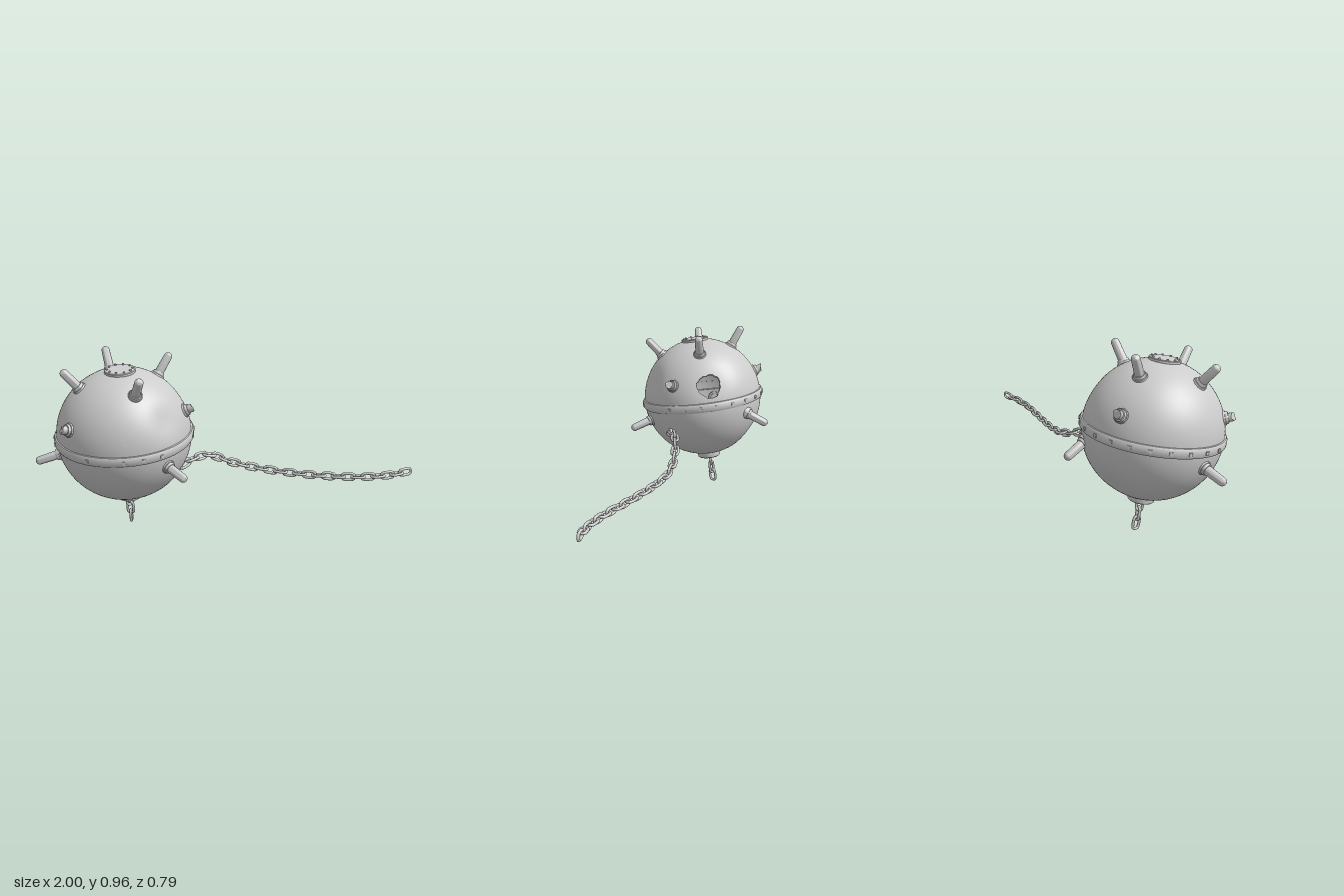
import * as THREE from 'three';
import { mergeVertices, toCreasedNormals } from 'three/addons/utils/BufferGeometryUtils.js';

const V = (x, y, z) => new THREE.Vector3(x, y, z);
const UP = V(0, 1, 0);
const CENTER = V(-0.536, 0.538, 0.033);
const R = 0.35;
const AXIS = V(-0.04, 1, 0.134).normalize();   // tilted axis through belt and bottom plug

const steel = new THREE.MeshStandardMaterial({ color: 0xcccccc, side: THREE.DoubleSide });
steel.name = 'light grey steel';

function mesh(name, geometry, parent) {
  const m = new THREE.Mesh(geometry, steel);
  m.name = name;
  parent.add(m);
  return m;
}

function lathe(points, segments = 32) {
  const profile = points.map(([r, y]) => new THREE.Vector2(r, y));
  return toCreasedNormals(new THREE.LatheGeometry(profile, segments), 0.7);
}

// Group at the ball centre whose local +y points along a direction
function radialGroup(name, dir, parent) {
  const g = new THREE.Group();
  g.name = name;
  g.position.copy(CENTER);
  g.quaternion.setFromUnitVectors(UP, dir.clone().normalize());
  parent.add(g);
  return g;
}

// Hollow ball with a ragged hole at its pole and shallow dents
function shellGeometry(holeDir) {
  const cols = 80, rows = 56;
  const geo = new THREE.SphereGeometry(R, cols, rows);
  const pos = geo.attributes.position;
  const turn = new THREE.Quaternion().setFromUnitVectors(UP, holeDir);
  const dents = [
    { dir: holeDir, depth: 0.012, width: 0.3 },
    { dir: V(0.2, 0.12, 0.25).normalize(), depth: 0.016, width: 0.24 },
    { dir: V(-0.07, -0.55, -0.77).normalize(), depth: 0.01, width: 0.25 },
  ];
  for (let j = 0; j <= rows; j++) {
    for (let i = 0; i <= cols; i++) {
      const phi = (i % cols) / cols * Math.PI * 2;
      const edge = 0.195 + 0.012 * Math.sin(3 * phi + 1) + 0.006 * Math.sin(8 * phi) + 0.004 * Math.sin(15 * phi);
      // Row 0 is the inner lip of the hole, row 1 its outer edge
      const t = Math.max(0, j - 1) / (rows - 1);
      const theta = edge + (Math.PI - edge) * t;
      const p = new THREE.Vector3().setFromSphericalCoords(1, theta, phi).applyQuaternion(turn);
      let r = j === 0 ? R - 0.015 : R;
      for (const d of dents) r -= d.depth * Math.exp(-((p.angleTo(d.dir) / d.width) ** 2));
      p.multiplyScalar(r);
      pos.setXYZ(j * (cols + 1) + i, p.x, p.y, p.z);
    }
  }
  // SphereGeometry omits the first triangle at its pole, so index the full grid
  const index = [];
  for (let j = 0; j < rows; j++) {
    for (let i = 0; i < cols; i++) {
      const a = j * (cols + 1) + i, b = a + cols + 1;
      index.push(a, b, a + 1, b, b + 1, a + 1);
    }
  }
  geo.setIndex(index);
  geo.deleteAttribute('uv');
  geo.deleteAttribute('normal');
  return toCreasedNormals(mergeVertices(geo, 1e-5), 0.7);
}

// Oblong chain link, long in x and wide in y
class LinkCurve extends THREE.Curve {
  getPoint(t, target = new THREE.Vector3()) {
    const a = t * Math.PI * 2, c = Math.cos(a), s = Math.sin(a);
    const stretch = THREE.MathUtils.clamp(c * 2.2, -1, 1) * 0.017;
    return target.set(stretch + 0.0175 * c, 0.0175 * s, 0);
  }
}
const linkGeo = new THREE.TubeGeometry(new LinkCurve(), 28, 0.0075, 8, true);

// Chain along a curve; roll(i) turns each link about the curve
function chain(name, curve, count, side, roll, parent) {
  const g = new THREE.Group();
  g.name = name;
  parent.add(g);
  for (let i = 0; i < count; i++) {
    const u = i / (count - 1);
    const x = curve.getTangentAt(u);
    const z = side.clone().addScaledVector(x, -side.dot(x)).normalize();
    const y = z.clone().cross(x);
    const m = mesh('chainLink', linkGeo, g);
    m.quaternion.setFromRotationMatrix(new THREE.Matrix4().makeBasis(x, y, z));
    m.rotateX(roll(i));
    m.position.copy(curve.getPointAt(u));
  }
}

export function createModel() {
  const model = new THREE.Group();
  model.name = 'spikedMine';

  mesh('shell', shellGeometry(V(0.3, 0.149, -0.112).normalize()), model).position.copy(CENTER);

  // Belt with square bolts, a few of them missing
  const belt = radialGroup('belt', AXIS, model);
  mesh('beltRing', lathe([[0.335, -0.027], [0.356, -0.024], [0.362, -0.014], [0.362, 0.014],
    [0.356, 0.024], [0.335, 0.027]], 80), belt);
  const boltGeo = new THREE.BoxGeometry(0.014, 0.017, 0.017);
  for (let k = 0; k < 24; k++) {
    if ([2, 3, 7, 9, 10].includes(k)) continue;
    const a = 0.047 + k * Math.PI / 12;
    const bolt = mesh('beltBolt', boltGeo, belt);
    bolt.position.set(0.359 * Math.cos(a), 0, 0.359 * Math.sin(a));
    bolt.rotation.y = -a;
  }

  // Top hatch
  const hatch = radialGroup('hatch', V(-0.04, 1, 0.155), model);
  mesh('hatchPlate', lathe([[0.079, 0.325], [0.079, 0.352], [0.076, 0.355], [0, 0.355]], 40), hatch);
  const rivetGeo = new THREE.CylinderGeometry(0.005, 0.006, 0.01, 8);
  for (let k = 0; k < 10; k++) {
    const a = k * Math.PI / 5;
    mesh('hatchRivet', rivetGeo, hatch).position.set(0.064 * Math.cos(a), 0.357, 0.064 * Math.sin(a));
  }

  // Bottom plug
  const plug = radialGroup('bottomPlug', AXIS.clone().negate(), model);
  mesh('plugBody', lathe([[0.07, 0.32], [0.07, 0.352], [0.067, 0.373], [0.06, 0.378], [0, 0.378]], 40), plug);

  // Collars, whole spikes and broken stubs
  const collarGeo = lathe([[0.036, 0.33], [0.036, 0.353], [0.034, 0.356], [0.03, 0.357], [0.03, 0.366], [0.027, 0.37], [0.02, 0.37]], 24);
  const spikeProfile = [[0.024, 0.34], [0.0215, 0.461]];
  for (let i = 1; i <= 6; i++) {
    const a = i * Math.PI / 12;
    spikeProfile.push([0.0215 * Math.cos(a), 0.461 + 0.02 * Math.sin(a)]);
  }
  const spikeGeo = lathe(spikeProfile, 20);
  function spike(dir) {
    const g = radialGroup('spike', dir, model);
    mesh('spikeCollar', collarGeo, g);
    mesh('spikeRod', spikeGeo, g);
    return g;
  }
  [
    V(-0.285, 0.345, 0.1), V(0.07, 0.34, 0.32), V(-0.08, 0.41, -0.21), V(0.25, 0.41, -0.035),
    V(-0.45, -0.13, 0.0), V(0.265, -0.145, 0.345),
  ].forEach(spike);

  // Bent rear spike, leaning away from the radial direction
  const bent = spike(V(0, -0.43, -0.9));
  bent.position.copy(V(-0.38, 0.503, -0.265)).addScaledVector(V(0, -0.43, -0.9).normalize(), -0.342);

  // Snapped-off rod with an uneven slanted end
  let stubGeo = new THREE.CylinderGeometry(0.021, 0.023, 0.06, 14);
  const p = stubGeo.attributes.position;
  for (let i = 0; i < p.count; i++) {
    if (p.getY(i) < 0) continue;
    const a = Math.atan2(p.getZ(i), p.getX(i)), r = Math.hypot(p.getX(i), p.getZ(i));
    p.setY(i, 0.03 + (r > 0.01 ? 0.008 * Math.sin(a) + 0.003 * Math.sin(4 * a) : 0));
  }
  stubGeo = toCreasedNormals(stubGeo, 0.6);
  for (const dir of [V(-0.295, 0.09, 0.215), V(0.34, 0.148, 0.11), V(-0.095, 0.17, -0.32)]) {
    const g = radialGroup('brokenSpike', dir, model);
    mesh('spikeCollar', collarGeo, g);
    mesh('brokenRod', stubGeo, g).position.y = 0.362;
  }

  // Long chain trailing to the side, and a short one hanging below
  const trail = new THREE.CatmullRomCurve3([
    V(-0.235, 0.392, 0.155), V(-0.19, 0.406, 0.125), V(-0.1, 0.41, 0.085), V(0.03, 0.352, 0.05),
    V(0.165, 0.31, 0.042), V(0.27, 0.293, 0.064), V(0.41, 0.282, 0.11), V(0.57, 0.278, 0.165),
    V(0.73, 0.282, 0.21), V(0.87, 0.29, 0.225), V(0.956, 0.298, 0.215),
  ]);
  chain('trailingChain', trail, 25, V(0, 0, 1), i => (i % 2) * Math.PI / 2, model);
  const hanging = new THREE.LineCurve3(V(-0.522, 0.144, -0.024), V(-0.517, 0.043, -0.041));
  chain('hangingChain', hanging, 3, V(1, 0, 0.2), i => [1.1, 1.8, 0][i], model);

  return model;
}
